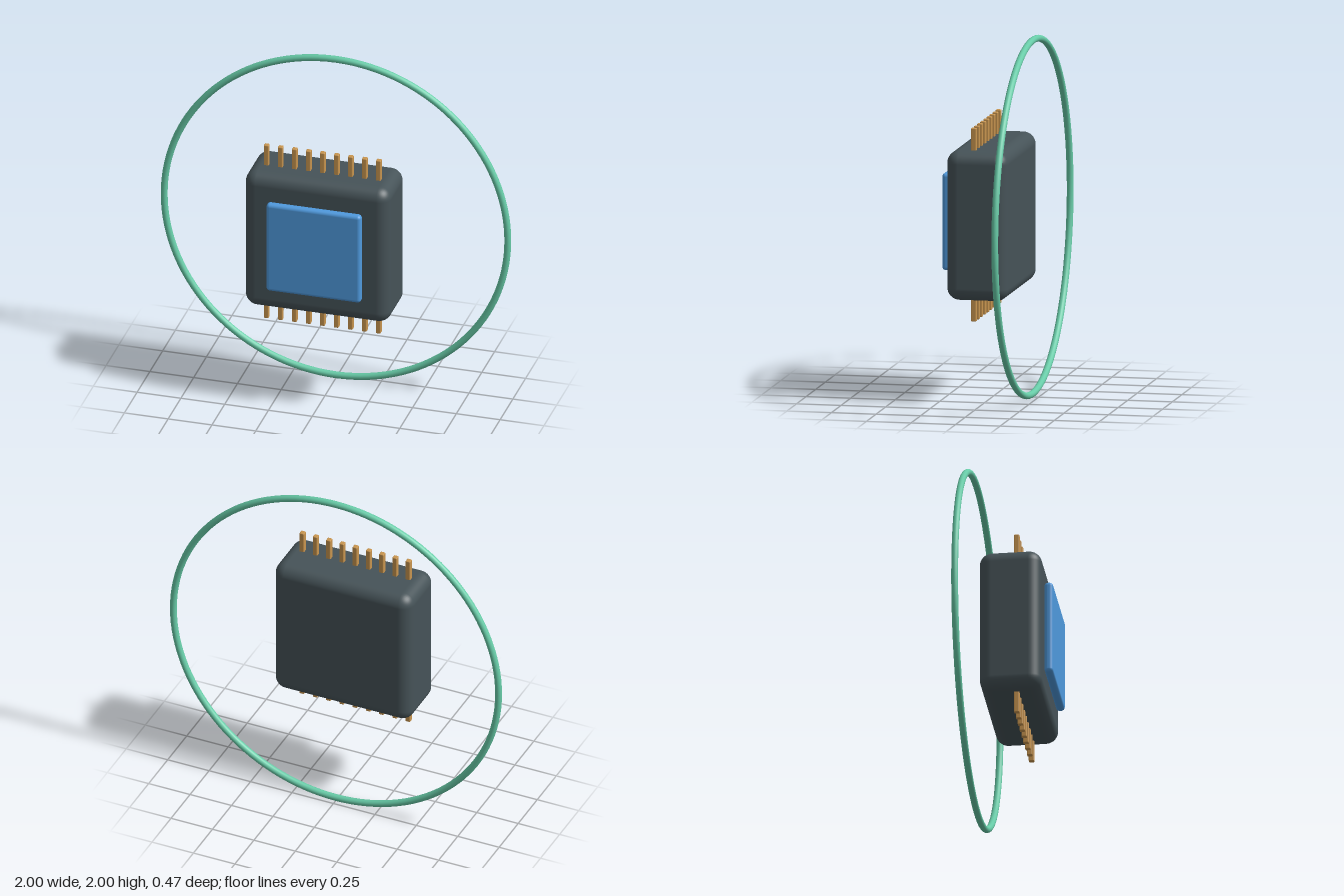
import * as THREE from 'three';
import { RoundedBoxGeometry } from 'three/addons/geometries/RoundedBoxGeometry.js';

function material(name, color) {
  const m = new THREE.MeshStandardMaterial({ color });
  m.name = name;
  return m;
}

export function createModel() {
  const group = new THREE.Group();
  group.name = 'chipInRing';

  const slate = material('slate', 0x465358);
  const blue = material('blue', 0x4f9ade);
  const copper = material('copper', 0xc8954f);
  const mint = material('mint', 0x68cca8);

  const add = (name, geometry, mat, x, y, z, parent = group) => {
    const mesh = new THREE.Mesh(geometry, mat);
    mesh.name = name;
    mesh.position.set(x, y, z);
    parent.add(mesh);
    return mesh;
  };

  // Chip body and raised front panel
  add('chipBody', new RoundedBoxGeometry(0.83, 0.83, 0.344, 5, 0.07), slate, 0, 1, 0.014);
  add('frontPanel', new RoundedBoxGeometry(0.54, 0.54, 0.048, 4, 0.02), blue, 0, 1, 0.211);

  // Nine pins along the top and bottom edges
  const pinGeometry = new RoundedBoxGeometry(0.028, 0.16, 0.03, 2, 0.005);
  for (const side of [1, -1]) {
    const row = new THREE.Group();
    row.name = side > 0 ? 'topPins' : 'bottomPins';
    group.add(row);
    for (let i = -4; i <= 4; i++) {
      add('pin', pinGeometry, copper, i * 0.08, 1 + side * 0.457, 0.043, row);
    }
  }

  // Thin ring standing behind the chip
  add('ring', new THREE.TorusGeometry(0.981, 0.019, 16, 128), mint, 0, 1, -0.216);

  return group;
}
